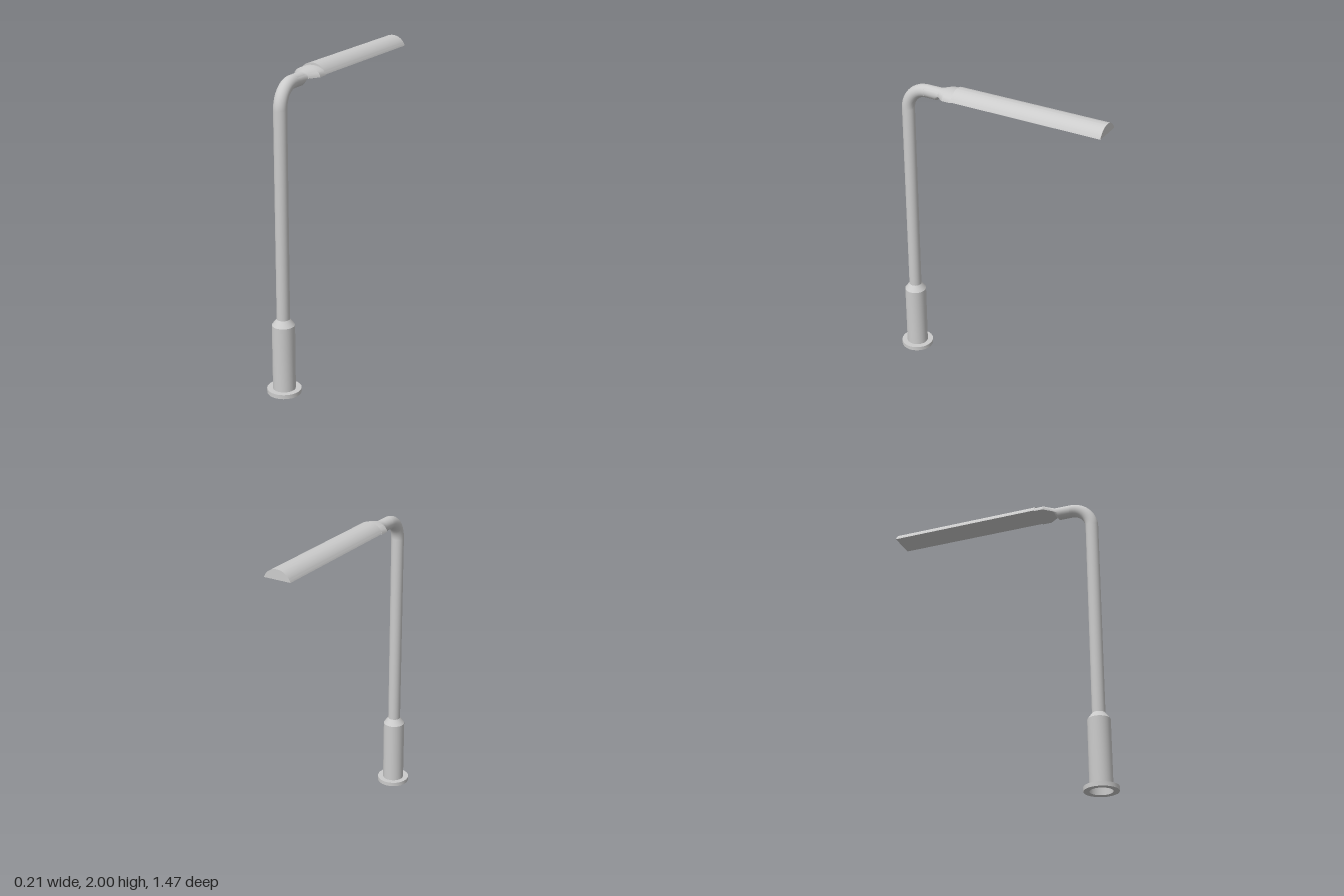
import * as THREE from 'three';
import { toCreasedNormals } from 'three/addons/utils/BufferGeometryUtils.js';

const POLE_Z = 0.628;
const POLE_R = 0.041;
const ARM_X = -0.006;
const ARM_Y = 1.93;
const SIDES = 24;

const material = new THREE.MeshStandardMaterial({ color: 0xcccccc, side: THREE.DoubleSide });

function addPart(group, name, geometry, creased = true) {
  const mesh = new THREE.Mesh(creased ? toCreasedNormals(geometry, 0.5) : geometry, material);
  mesh.name = name;
  group.add(mesh);
  return mesh;
}

function lathe(points) {
  return new THREE.LatheGeometry(points.map(([r, y]) => new THREE.Vector2(r, y)), SIDES);
}

// Skin through cross-sections [z, halfWidth, bottom, middle, top], going towards -z
function loft(sections) {
  const positions = [], index = [];
  sections.forEach(([z, halfWidth, bottom, middle, top], row) => {
    for (let i = 0; i < SIDES; i++) {
      const a = (i / SIDES) * Math.PI * 2, s = Math.sin(a);
      const y = middle + s * (s > 0 ? top - middle : middle - bottom);
      positions.push(ARM_X + halfWidth * Math.cos(a), y, z);
      if (row === 0) continue;
      const next = (i + 1) % SIDES, p = (row - 1) * SIDES, q = row * SIDES;
      index.push(p + i, q + i, p + next, p + next, q + i, q + next);
    }
  });
  const geometry = new THREE.BufferGeometry();
  geometry.setAttribute('position', new THREE.Float32BufferAttribute(positions, 3));
  geometry.setIndex(index);
  geometry.computeVertexNormals();
  return geometry;
}

export function createModel() {
  const group = new THREE.Group();
  group.name = 'streetLamp';

  // Ring flange, open in the middle
  addPart(group, 'baseFlange', lathe([[0.071, 0], [0.107, 0], [0.107, 0.027], [0.071, 0.027]]))
    .position.z = POLE_Z;

  // Wide lower sleeve tapering into the pole
  addPart(group, 'baseSleeve', lathe([[0.071, 0], [0.071, 0.45], [POLE_R, 0.49]]))
    .position.z = POLE_Z;

  // Straight pole
  const pole = new THREE.CylinderGeometry(POLE_R, POLE_R, 1.3, SIDES, 1, true);
  addPart(group, 'pole', pole).position.set(0, 1.14, POLE_Z);

  // Quarter bend from upright to horizontal
  const bend = new THREE.CubicBezierCurve3(
    new THREE.Vector3(0, 1.79, POLE_Z),
    new THREE.Vector3(0, 1.867, POLE_Z),
    new THREE.Vector3(ARM_X, ARM_Y, 0.567),
    new THREE.Vector3(ARM_X, ARM_Y, 0.49)
  );
  addPart(group, 'bend', new THREE.TubeGeometry(bend, 10, POLE_R, SIDES, false), false);

  // Round arm that flattens and flares into the lamp holder
  addPart(group, 'neck', loft([
    [0.49, POLE_R, 1.889, ARM_Y, 1.971],
    [0.41, POLE_R, 1.889, ARM_Y, 1.971],
    [0.385, 0.044, 1.925, ARM_Y, 1.971],
    [0.325, 0.09, 1.932, 1.933, 1.986],
    [0.265, 0.09, 1.932, 1.933, 1.986],
  ]));

  // Long lamp head with an arched top and flat underside
  const halfWidth = 0.09, height = 0.062;
  const radius = (halfWidth ** 2 + height ** 2) / (2 * height);
  const start = Math.asin((radius - height) / radius);
  const arch = new THREE.Shape();
  arch.absarc(0, height - radius, radius, start, Math.PI - start, false);
  arch.closePath();
  const head = new THREE.ExtrudeGeometry(arch, { depth: 1, bevelEnabled: false, curveSegments: 16 });
  addPart(group, 'lampHead', head).position.set(ARM_X, 1.938, -0.735);

  return group;
}
